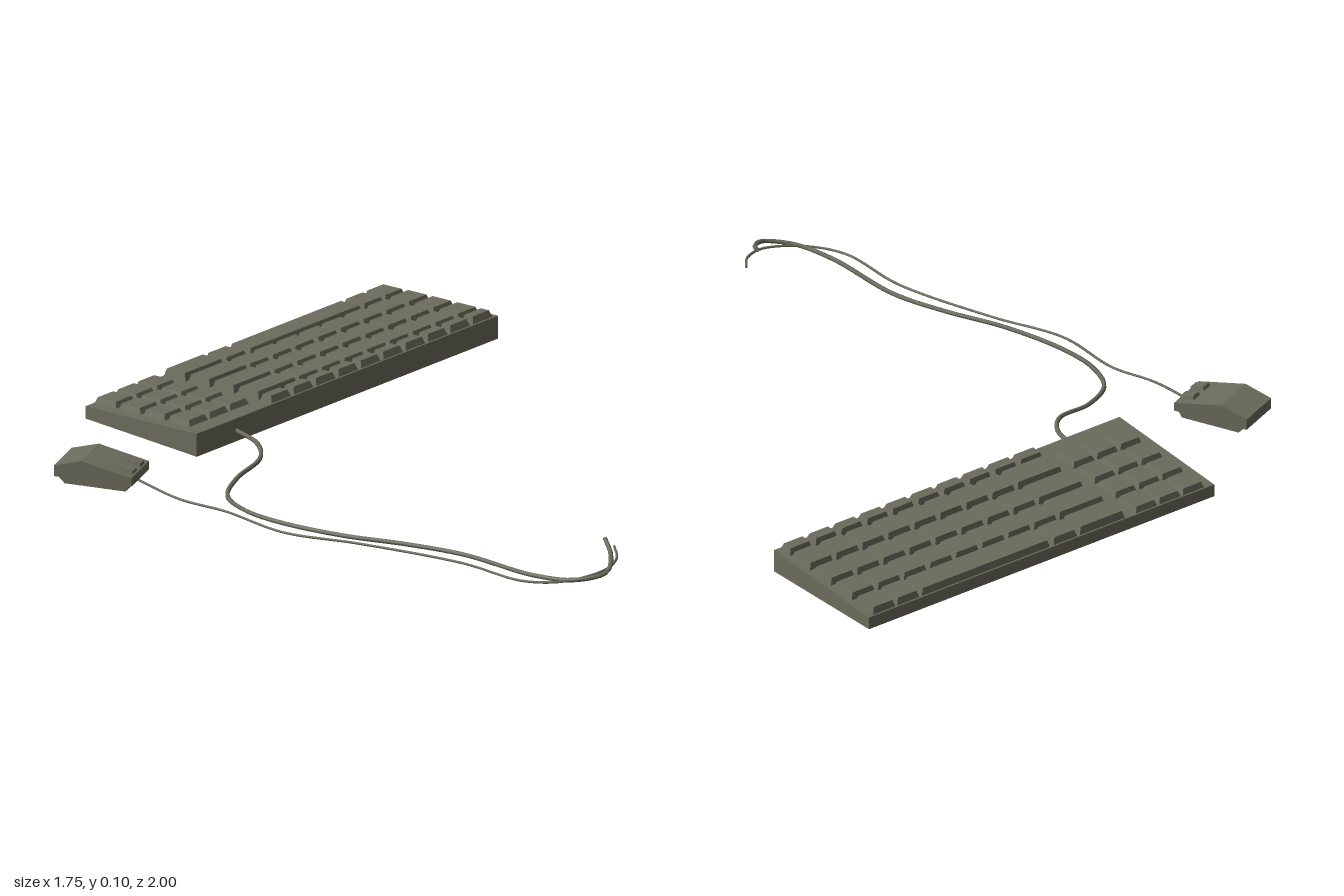
import * as THREE from 'three';

export function createModel() {
  const model = new THREE.Group();
  model.name = 'keyboardAndMouse';
  const olive = new THREE.MeshStandardMaterial({ color: 0x6c6c5d, side: THREE.DoubleSide });
  olive.name = 'olive grey';

  const add = (parent, name, geo, x = 0, y = 0, z = 0) => {
    const m = new THREE.Mesh(geo, olive);
    m.name = name;
    m.position.set(x, y, z);
    parent.add(m);
    return m;
  };
  const points = pts => pts.map(p => new THREE.Vector2(...p));
  const rect = (x0, x1, y0, y1) => points([[x0, y0], [x1, y0], [x1, y1], [x0, y1]]);
  const extrude = (shape, depth) =>
    new THREE.ExtrudeGeometry(shape, { depth, bevelEnabled: false });
  // side profile given as [z, y], extruded across x and centred
  const profileX = (pts, width) =>
    extrude(new THREE.Shape(points(pts.map(([z, y]) => [-z, y]))), width)
      .rotateY(Math.PI / 2).translate(-width / 2, 0, 0);
  // hollow cap standing on y = 0: no bottom, top drawn in on all four sides
  const cap = (w, h, d, inset) => {
    const box = new THREE.BoxGeometry(w, h, d).translate(0, h / 2, 0);
    const index = Array.from(box.index.array);
    box.setIndex([...index.slice(0, 18), ...index.slice(24)]);
    box.clearGroups();
    const g = box.toNonIndexed();
    const p = g.attributes.position;
    for (let i = 0; i < p.count; i++) {
      if (p.getY(i) < h / 2) continue;
      p.setX(i, p.getX(i) - Math.sign(p.getX(i)) * inset);
      p.setZ(i, p.getZ(i) - Math.sign(p.getZ(i)) * inset);
    }
    g.computeVertexNormals();
    return g;
  };

  // ---------- Keyboard: open-bottomed wedge case ----------
  const L = 1.29, W = 0.446, T = 0.005, low = 0.05, high = 0.083, floorY = 0.011;
  const keyboard = new THREE.Group();
  keyboard.name = 'keyboard';
  keyboard.position.set(0.208, 0, -0.709);
  keyboard.rotation.y = -0.109;
  model.add(keyboard);

  const side = profileX([[-W / 2, floorY], [W / 2, floorY], [W / 2, high], [-W / 2, low]], T);
  for (const s of [-1, 1]) {
    add(keyboard, 'caseSide', side, s * (L - T) / 2);
    const h = (s > 0 ? high : low) - floorY - 0.001;
    add(keyboard, s > 0 ? 'caseRear' : 'caseFront', new THREE.BoxGeometry(L - 0.002, h, T),
      0, floorY + h / 2, s * (W - T) / 2);
  }

  // sloping deck, pierced under each hollow key
  const deck = new THREE.Group();
  deck.name = 'deck';
  deck.position.y = (low + high) / 2;
  deck.rotation.x = -Math.atan2(high - low, W);
  keyboard.add(deck);
  const plate = new THREE.Shape(rect(-L / 2, L / 2, -W / 2, W / 2));

  const key = (name, x, z, w, d, h = 0.021) => {
    add(deck, name, cap(w, h, d, 0.007), x, 0, z);
    const hw = w / 2 - 0.001, hd = d / 2 - 0.001;
    plate.holes.push(new THREE.Path(rect(x - hw, x + hw, -z - hd, -z + hd)));
  };
  const rows = [-0.175, -0.078, 0.02, 0.119], depth = 0.087;
  rows.forEach((z, r) => {
    for (let i = 0; i < 3; i++) key('numberPadKey', -0.571 + i * 0.0875, z, 0.08, depth, 0.018);
    key('wideKey', -0.231, z, 0.168, depth, 0.023);
    if (r > 0) for (let i = 0; i < 8; i++) key('key', -0.096 + i * 0.0972, z, 0.088, depth);
  });
  key('key', -0.093, rows[0], 0.088, depth);
  key('spaceBar', 0.204, rows[0], 0.478, depth);
  key('key', 0.494, rows[0], 0.083, depth);
  key('key', 0.584, rows[0], 0.083, depth);
  for (let i = 0; i < 10; i++) key('functionKey', -0.276 + i * 0.0958, 0.194, 0.083, 0.046);
  add(deck, 'deckPlate', extrude(plate, 0.008).rotateX(-Math.PI / 2), 0, -0.008, 0);

  // ---------- Mouse ----------
  const mouse = new THREE.Group();
  mouse.name = 'mouse';
  mouse.position.set(-0.768, 0, -0.673);
  mouse.rotation.y = 0.287;
  model.add(mouse);
  add(mouse, 'mouseShell', profileX(
    [[-0.121, 0.032], [0.121, 0.032], [0.121, 0.058], [-0.036, 0.091], [-0.121, 0.066]], 0.149));
  add(mouse, 'mouseBase', profileX(
    [[-0.09, 0.011], [0.1, 0.011], [0.112, 0.033], [-0.112, 0.033]], 0.134));
  for (const s of [-1, 1]) {
    const button = add(mouse, 'mouseButton', cap(0.038, 0.011, 0.048, 0.003), s * 0.031, 0.064, 0.092);
    button.rotation.x = 0.207;
  }

  // ---------- Cables ----------
  const cable = (name, r, pts) => {
    const curve = new THREE.CatmullRomCurve3(pts.map(p => new THREE.Vector3(...p)));
    add(model, name, new THREE.TubeGeometry(curve, 100, r, 6));
    // closed ends
    for (const t of [0, 1]) {
      const end = add(model, name + 'End', new THREE.CircleGeometry(r, 6));
      const p = curve.getPoint(t), d = curve.getTangent(t).multiplyScalar(t ? 1 : -1);
      end.position.copy(p);
      end.lookAt(p.clone().add(d));
    }
  };
  cable('keyboardCable', 0.007, [
    [-0.285, 0.045, -0.545], [-0.325, 0.04, -0.435], [-0.4, 0.031, -0.37], [-0.53, 0.016, -0.355],
    [-0.65, 0.009, -0.3], [-0.708, 0.008, -0.19], [-0.722, 0.008, -0.05], [-0.695, 0.008, 0.16],
    [-0.64, 0.008, 0.345], [-0.605, 0.008, 0.53], [-0.622, 0.012, 0.8], [-0.595, 0.02, 0.93],
    [-0.525, 0.035, 0.99], [-0.455, 0.06, 0.955], [-0.41, 0.085, 0.9]]);
  cable('mouseCable', 0.004, [
    [-0.742, 0.03, -0.565], [-0.765, 0.015, -0.39], [-0.748, 0.008, -0.235], [-0.776, 0.006, 0],
    [-0.715, 0.006, 0.23], [-0.658, 0.006, 0.56], [-0.672, 0.01, 0.8], [-0.615, 0.016, 0.905],
    [-0.5, 0.03, 0.966], [-0.42, 0.038, 0.95], [-0.365, 0.046, 0.9]]);

  return model;
}
